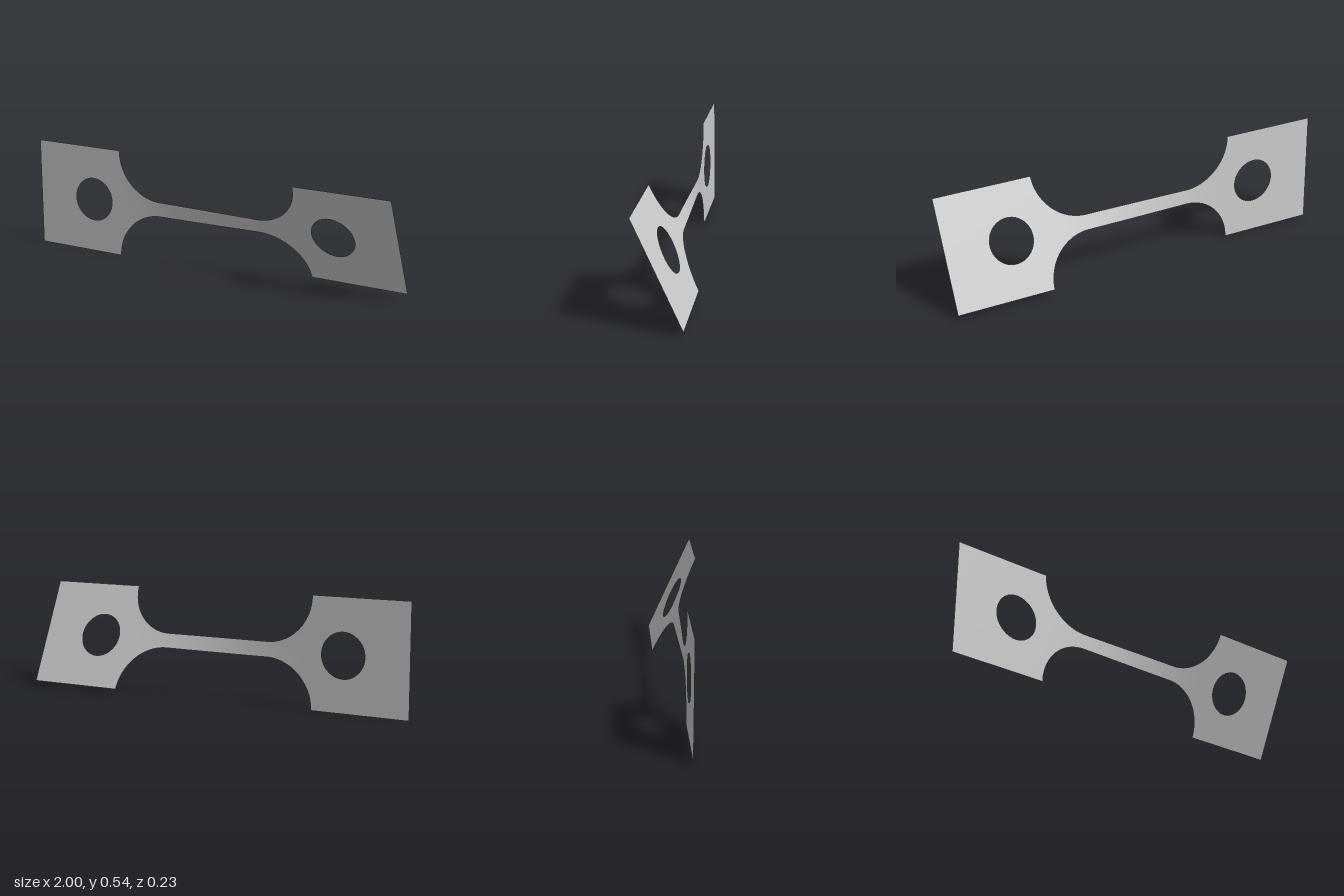
import * as THREE from 'three';
import { mergeVertices } from 'three/addons/utils/BufferGeometryUtils.js';

const HALF = 0.271, NECK = 0.037;          // half heights of end plate and neck
const SHOULDER = 0.51, FILLET = 0.236;     // fillet start and radii
const HOLE_X = 0.67, HOLE_R = 0.109;
const NECK_END = SHOULDER - FILLET;

// Half height of the flat outline at x
function outline(x) {
  const u = (Math.abs(x) - NECK_END) / FILLET;
  if (u <= 0) return NECK;
  if (u >= 1) return HALF;
  return HALF - (HALF - NECK) * Math.sqrt(1 - u * u);
}

// Half height of the round hole at x
function hole(x) {
  const d = Math.abs(x) - HOLE_X;
  return Math.sqrt(Math.max(0, HOLE_R * HOLE_R - d * d));
}

// The strip twists smoothly along the neck
function twist(x) {
  return THREE.MathUtils.degToRad(0.6 + 24 * THREE.MathUtils.smoothstep(x, -0.5, 0.5));
}

// Columns along x, closer together around the fillets and holes
function columns() {
  const xs = [];
  for (let i = 1; i <= 12; i++) xs.push(NECK_END * i / 12);
  for (let i = 1; i <= 24; i++) xs.push(NECK_END + FILLET * Math.sin(i / 24 * Math.PI / 2));
  for (let i = 0; i <= 36; i++) xs.push(HOLE_X - HOLE_R * Math.cos(i / 36 * Math.PI));
  for (let i = 1; i <= 4; i++) xs.push(HOLE_X + HOLE_R + (1 - HOLE_X - HOLE_R) * i / 4);
  return [...xs.map(x => -x).reverse(), 0, ...xs];
}

function sheetGeometry() {
  const xs = columns(), rows = 6, pos = [], index = [];
  // Upper and lower halves meet on the centre line, except at the holes
  for (const side of [1, -1]) {
    const base = pos.length / 3;
    xs.forEach((x, i) => {
      const a = twist(x), inner = hole(x), outer = outline(x);
      for (let j = 0; j <= rows; j++) {
        const t = side > 0 ? j / rows : 1 - j / rows;
        const s = side * (inner + (outer - inner) * t);
        pos.push(x, s * Math.cos(a), s * Math.sin(a));
        if (i && j) {
          const d = base + i * (rows + 1) + j, c = d - 1;
          const b = d - rows - 1, e = b - 1;
          index.push(e, c, d, e, d, b);
        }
      }
    });
  }
  let geo = new THREE.BufferGeometry();
  geo.setAttribute('position', new THREE.Float32BufferAttribute(pos, 3));
  geo.setIndex(index);
  geo = mergeVertices(geo, 1e-5);
  geo.computeVertexNormals();
  return geo;
}

export function createModel() {
  const group = new THREE.Group();
  group.name = 'twistedTestStrip';
  const metal = new THREE.MeshStandardMaterial({ color: 0xcccccc, side: THREE.DoubleSide });
  metal.name = 'light grey';
  const sheet = new THREE.Mesh(sheetGeometry(), metal);
  sheet.name = 'twistedSheet';
  sheet.position.y = HALF;
  group.add(sheet);
  return group;
}
